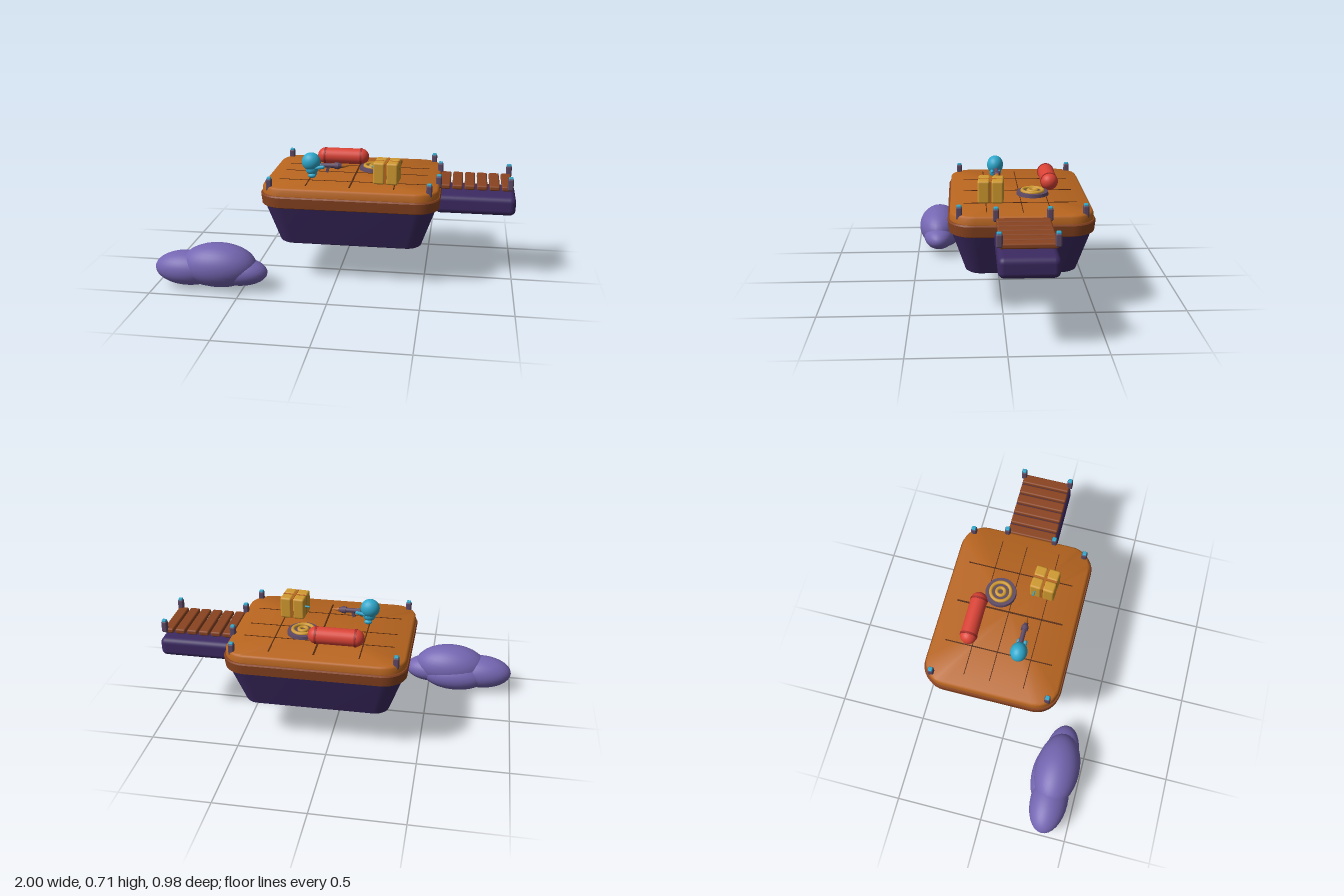
import * as THREE from 'three';
import { toCreasedNormals } from 'three/addons/utils/BufferGeometryUtils.js';
import { RoundedBoxGeometry } from 'three/addons/geometries/RoundedBoxGeometry.js';

const material = (name, color) => {
  const m = new THREE.MeshStandardMaterial({ color });
  m.name = name;
  return m;
};

// Outline of a rounded rectangle in the xz plane
function outline(y, hx, hz, r, seg = 8) {
  const pts = [];
  [[1, 1], [-1, 1], [-1, -1], [1, -1]].forEach(([sx, sz], k) => {
    for (let i = 0; i <= seg; i++) {
      const a = (k + i / seg) * Math.PI / 2;
      pts.push(new THREE.Vector3(sx * (hx - r) + r * Math.cos(a), y, sz * (hz - r) + r * Math.sin(a)));
    }
  });
  return pts;
}

// Closed loft through sections [y, halfX, halfZ, cornerRadius], listed bottom to top
function loft(sections) {
  const rings = sections.map((s) => outline(...s));
  const n = rings[0].length;
  const pos = [];
  const tri = (...v) => v.forEach((p) => pos.push(p.x, p.y, p.z));
  const bottom = new THREE.Vector3(0, sections[0][0], 0);
  const top = new THREE.Vector3(0, sections[sections.length - 1][0], 0);
  for (let i = 0; i < n; i++) {
    const j = (i + 1) % n;
    for (let k = 0; k < rings.length - 1; k++) {
      const a = rings[k], b = rings[k + 1];
      tri(a[i], b[i], a[j]);
      tri(a[j], b[i], b[j]);
    }
    tri(bottom, rings[0][i], rings[0][j]);
    const last = rings[rings.length - 1];
    tri(top, last[j], last[i]);
  }
  const g = new THREE.BufferGeometry();
  g.setAttribute('position', new THREE.Float32BufferAttribute(pos, 3));
  return toCreasedNormals(g, 0.6);
}

export function createModel() {
  const root = new THREE.Group();
  root.name = 'floatingPlatform';
  const mat = {
    hull: material('darkPurple', 0x3c2a62),
    cloud: material('lavender', 0x7566b2),
    band: material('brownWood', 0x8a4420),
    deck: material('orangeWood', 0xb8651f),
    seam: material('darkSeam', 0x54290f),
    post: material('greyPurple', 0x5f4a66),
    blue: material('skyBlue', 0x2ea8cc),
    red: material('red', 0xdb4336),
    darkRed: material('darkRed', 0xa52c28),
    gold: material('gold', 0xd09a30),
  };
  const add = (name, geo, m, x = 0, y = 0, z = 0, parent = root) => {
    const mesh = new THREE.Mesh(geo, m);
    mesh.name = name;
    mesh.position.set(x, y, z);
    parent.add(mesh);
    return mesh;
  };
  const group = (name, x, y, z) => {
    const g = new THREE.Group();
    g.name = name;
    g.position.set(x, y, z);
    root.add(g);
    return g;
  };
  const ball = (name, m, c, r, parent = root) => {
    const b = add(name, new THREE.SphereGeometry(1, 32, 20), m, ...c, parent);
    b.scale.set(...r);
    return b;
  };

  // Hull, brown band and deck
  const base = group('platform', 0.078, 0, -0.1);
  add('hull', loft([[0.228, 0.39, 0.285, 0.07], [0.236, 0.402, 0.298, 0.08], [0.47, 0.484, 0.373, 0.125]]), mat.hull, 0, 0, 0, base);
  add('band', loft([[0.46, 0.485, 0.373, 0.12], [0.466, 0.497, 0.383, 0.13], [0.522, 0.503, 0.389, 0.135], [0.53, 0.498, 0.384, 0.13]]), mat.band, 0, 0, 0, base);
  add('deck', loft([[0.525, 0.494, 0.379, 0.13], [0.563, 0.492, 0.377, 0.13], [0.571, 0.487, 0.372, 0.125], [0.575, 0.479, 0.364, 0.117]]), mat.deck, 0, 0, 0, base);

  // Plank seams on the deck
  [-0.166, 0.08, 0.324].forEach((x, i) =>
    add('deckSeam', new THREE.BoxGeometry(i === 1 ? 0.009 : 0.006, 0.003, 0.61), mat.seam, x, 0.5755, -0.1));
  [-0.25, -0.105, 0.085].forEach((z) =>
    add('deckCrossSeam', new THREE.BoxGeometry(0.835, 0.003, 0.004), mat.seam, 0.08, 0.5755, z));

  // Mooring posts with blue caps
  const postGeo = new RoundedBoxGeometry(0.032, 0.068, 0.032, 2, 0.009);
  const capGeo = new RoundedBoxGeometry(0.024, 0.014, 0.024, 2, 0.005);
  const addPost = (name, x, y, z) => {
    add(name, postGeo, mat.post, x, y, z);
    add(name + 'Cap', capGeo, mat.blue, x, y + 0.035, z);
  };
  for (const x of [-0.365, 0.52]) for (const z of [0.228, -0.428]) addPost('deckPost', x, 0.583, z);
  for (const x of [0.565, 0.96]) for (const z of [0.04, -0.238]) addPost('pierPost', x, 0.584, z);

  // Pier float and planks
  add('pierFloat', new RoundedBoxGeometry(0.45, 0.108, 0.3, 5, 0.032), mat.hull, 0.772, 0.452, -0.102);
  for (let i = 0; i < 6; i++)
    add('pierPlank', new RoundedBoxGeometry(0.058, 0.028, 0.28, 2, 0.009), mat.band, 0.6 + i * 0.0685, 0.556, -0.1);

  // Red tank lying on the deck
  const tank = group('tank', -0.021, 0.628, -0.278);
  add('tankBody', new THREE.CapsuleGeometry(0.047, 0.216, 10, 28), mat.red, 0, 0, 0, tank).rotation.z = Math.PI / 2;
  for (const x of [-0.108, 0.108])
    add('tankBand', new THREE.CylinderGeometry(0.0495, 0.0495, 0.012, 28), mat.darkRed, x, 0, 0, tank).rotation.z = Math.PI / 2;

  // Rope coil on a round base
  const coil = group('ropeCoil', 0.18, 0, -0.177);
  add('coilBase', new THREE.CylinderGeometry(0.086, 0.089, 0.018, 36), mat.post, 0, 0.591, 0, coil);
  for (const r of [0.057, 0.023])
    add('ropeRing', new THREE.TorusGeometry(r, 0.0105, 10, 36), mat.gold, 0, 0.602, 0, coil).rotation.x = Math.PI / 2;

  // Strapped crate made of four padded quarters
  const crate = group('crate', 0.275, 0.638, 0.056);
  crate.rotation.y = -0.07;
  for (const sx of [-1, 1]) for (const sz of [-1, 1])
    add('crateQuarter', new RoundedBoxGeometry(0.066, 0.125, 0.066, 3, 0.012), mat.gold, sx * 0.037, 0, sz * 0.037, crate);
  add('crateStrap', new THREE.BoxGeometry(0.134, 0.12, 0.012), mat.deck, 0, 0, 0, crate);
  add('crateStrap', new THREE.BoxGeometry(0.012, 0.12, 0.134), mat.deck, 0, 0, 0, crate);
  add('crateToggle', new THREE.CylinderGeometry(0.005, 0.005, 0.03, 10), mat.blue, -0.082, 0.01, -0.04, crate).rotation.z = Math.PI / 2;

  // Small blue figure facing +x
  const figure = group('figure', -0.165, 0, 0.017);
  ball('figureHead', mat.blue, [0, 0.665, 0], [0.054, 0.053, 0.047], figure);
  ball('figureBody', mat.blue, [0.004, 0.622, 0], [0.036, 0.035, 0.034], figure);
  for (const s of [-1, 1]) {
    ball('figureFoot', mat.blue, [0.008, 0.588, s * 0.022], [0.022, 0.013, 0.014], figure);
    const arm = add('figureArm', new THREE.CapsuleGeometry(0.01, 0.045, 5, 12), mat.blue, 0.05, 0.636, s * 0.02, figure);
    arm.rotation.set(s * -0.25, 0, -1.4);
  }

  // Launcher held by the figure
  const launcher = group('launcher', -0.06, 0.645, 0.012);
  const along = (name, r1, r2, len, m, x) =>
    add(name, new THREE.CylinderGeometry(r1, r2, len, 16), m, x, 0, 0, launcher).rotation.z = -Math.PI / 2;
  along('launcherBarrel', 0.013, 0.013, 0.1, mat.post, 0);
  along('launcherCollar', 0.02, 0.02, 0.022, mat.post, 0.042);
  along('launcherNose', 0.008, 0.019, 0.025, mat.post, 0.065);
  along('launcherTip', 0.001, 0.013, 0.04, mat.deck, 0.092);
  add('launcherGrip', new THREE.BoxGeometry(0.016, 0.036, 0.012), mat.post, -0.01, -0.022, 0, launcher).rotation.z = -0.25;

  // Cloud of overlapping lobes
  [
    [[-0.81, 0.115, 0.36], [0.19, 0.098, 0.108]],
    [[-0.63, 0.143, 0.364], [0.215, 0.126, 0.128]],
    [[-0.52, 0.11, 0.365], [0.165, 0.078, 0.097]],
    [[-0.66, 0.1, 0.332], [0.2, 0.096, 0.109]],
  ].forEach(([c, r]) => ball('cloudLobe', mat.cloud, c, r));

  return root;
}
